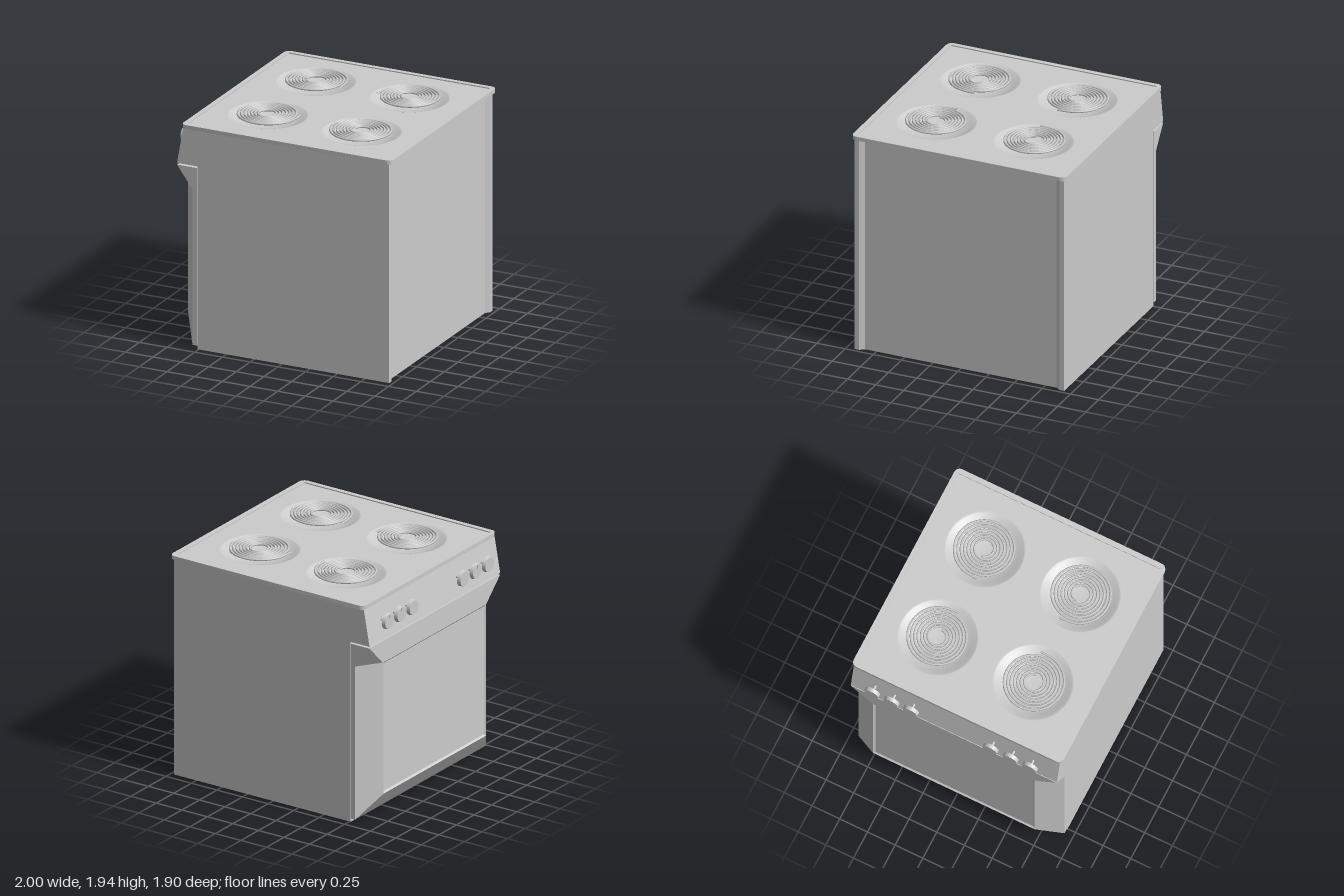
import * as THREE from 'three';
import { toCreasedNormals } from 'three/addons/utils/BufferGeometryUtils.js';

const mat = new THREE.MeshStandardMaterial({ color: 0xcccccc, side: THREE.DoubleSide });

function add(parent, geometry, name, x = 0, y = 0, z = 0) {
  const mesh = new THREE.Mesh(geometry, mat);
  mesh.name = name;
  mesh.position.set(x, y, z);
  parent.add(mesh);
  return mesh;
}

// Extrude a plan drawn in (x, z) upward from y0 to y1
function slab(shape, y0, y1) {
  const g = new THREE.ExtrudeGeometry(shape, { depth: y1 - y0, bevelEnabled: false, curveSegments: 32 });
  g.rotateX(-Math.PI / 2).translate(0, y0, 0);
  return toCreasedNormals(g, 0.6);
}

function polygon(points, Type = THREE.Shape) {
  return new Type(points.map(([x, y]) => new THREE.Vector2(x, y)));
}

function roundedRect(x0, x1, h, r) {
  const s = new THREE.Shape();
  s.moveTo(x0 + r, -h);
  s.absarc(x1 - r, -h + r, r, -Math.PI / 2, 0);
  s.absarc(x1 - r, h - r, r, 0, Math.PI / 2);
  s.absarc(x0 + r, h - r, r, Math.PI / 2, Math.PI);
  s.absarc(x0 + r, -h + r, r, Math.PI, Math.PI * 1.5);
  return s;
}

// Oven door: six-point rings from the back edge to the sunken front panel
function doorGeometry() {
  // each ring: bottom y, side y, top y, half widths (bottom/side, top), x of bottom/side, x of top
  const rings = [
    [0.03, 1.37, 1.56, 0.93, 0.93, -0.765, -0.765],
    [0.03, 1.37, 1.56, 0.93, 0.93, -0.805, -0.945],
    [0.22, 1.37, 1.56, 0.73, 0.93, -0.945, -0.945],
    [0.22, 1.36, 1.37, 0.73, 0.73, -0.945, -0.945],
    [0.235, 1.34, 1.355, 0.715, 0.715, -0.932, -0.932],
  ];
  const pos = [], idx = [];
  for (const [yb, ys, yt, w, wt, x, xt] of rings) {
    pos.push(x, yb, -w, x, yb, w, x, ys, w, xt, yt, wt, xt, yt, -wt, x, ys, -w);
  }
  for (let r = 0; r < rings.length - 1; r++) {
    for (let i = 0; i < 6; i++) {
      const a = r * 6 + i, b = r * 6 + (i + 1) % 6;
      idx.push(a, b, b + 6, a, b + 6, a + 6);
    }
  }
  const last = (rings.length - 1) * 6;
  for (let i = 1; i < 5; i++) {
    idx.push(last, last + i, last + i + 1);
    idx.push(0, i + 1, i);
  }
  const g = new THREE.BufferGeometry();
  g.setAttribute('position', new THREE.Float32BufferAttribute(pos, 3));
  g.setIndex(idx);
  const flat = g.toNonIndexed();
  flat.computeVertexNormals();
  return flat;
}

// Heating coil: flat spiral with a short straight outer end
function coilGeometry(mx, mz) {
  const pts = [], turns = 7, steps = turns * 28;
  for (let i = 0; i <= steps; i++) {
    const t = i / steps, a = t * turns * Math.PI * 2;
    const r = 0.065 + 0.19 * t;
    pts.push(new THREE.Vector3(mx * r * Math.cos(a), 0, mz * r * Math.sin(a)));
  }
  pts.push(new THREE.Vector3(mx * 0.258, 0, mz * 0.06));
  return new THREE.TubeGeometry(new THREE.CatmullRomCurve3(pts), turns * 48, 0.01, 6, false);
}

export function createModel() {
  const stove = new THREE.Group();
  stove.name = 'stove';

  // Body walls, with angled flanges around a recessed back panel
  const plan = polygon([[-0.76, -0.93], [0.97, -0.93], [0.97, -0.89], [0.94, -0.85],
    [0.94, 0.85], [0.97, 0.89], [0.97, 0.93], [-0.76, 0.93]]);
  plan.holes.push(polygon([[-0.74, -0.91], [-0.74, 0.91], [0.92, 0.91], [0.92, -0.91]], THREE.Path));
  add(stove, slab(plan, 0, 1.89), 'body');
  add(stove, new THREE.BoxGeometry(1.67, 0.02, 1.83), 'floor', 0.09, 0.035, 0);

  // Cooktop with burner openings and a raised rim
  const burners = [];
  for (const mx of [1, -1]) for (const mz of [1, -1]) {
    burners.push({ x: mx > 0 ? -0.375 : 0.47, z: -0.43 * mz, mx, mz });
  }
  const top = roundedRect(-0.88, 0.98, 0.93, 0.04);
  for (const { x, z } of burners) {
    top.holes.push(new THREE.Path().absarc(x, -z, 0.325, 0, Math.PI * 2, true));
  }
  add(stove, slab(top, 1.89, 1.913), 'cooktop');
  const rim = roundedRect(-0.9, 1, 0.95, 0.05);
  rim.holes.push(polygon([[-0.86, -0.91], [-0.86, 0.91], [0.955, 0.91], [0.955, -0.91]], THREE.Path));
  add(stove, slab(rim, 1.888, 1.922), 'cooktopRim');

  // Burners: sunken drip pan and coil
  const panProfile = [[0.001, -0.07], [0.06, -0.07], [0.14, -0.063], [0.22, -0.045], [0.28, -0.02],
    [0.315, 0.002], [0.33, 0.002]].map(([r, y]) => new THREE.Vector2(r, y));
  for (const { x, z, mx, mz } of burners) {
    const burner = new THREE.Group();
    burner.name = 'burner';
    burner.position.set(x, 1.913, z);
    add(burner, new THREE.LatheGeometry(panProfile, 48), 'dripPan');
    add(burner, coilGeometry(mx, mz), 'coil', 0, 0.017, 0);
    stove.add(burner);
  }

  // Sloped control panel
  const panel = polygon([[-0.76, 1.575], [-0.76, 1.885], [-0.89, 1.885], [-0.945, 1.575]]);
  const panelGeo = new THREE.ExtrudeGeometry(panel, { depth: 1.86, bevelEnabled: false });
  add(stove, panelGeo, 'controlPanel', 0, 0, -0.93);

  // Knobs on thin stems
  for (const z of [-0.72, -0.545, -0.37, 0.35, 0.53, 0.705]) {
    const knob = new THREE.Group();
    knob.name = 'knob';
    knob.position.set(0, 1.738, z);
    add(knob, new THREE.CylinderGeometry(0.068, 0.062, 0.03, 28), 'dial', -0.982, 0, 0).rotation.z = -Math.PI / 2;
    add(knob, new THREE.CylinderGeometry(0.01, 0.01, 0.07, 12), 'stem', -0.94, 0, 0).rotation.z = Math.PI / 2;
    add(knob, new THREE.BoxGeometry(0.006, 0.03, 0.01), 'pointer', -0.997, 0.045, 0);
    stove.add(knob);
  }

  // Oven door
  add(stove, doorGeometry(), 'ovenDoor');
  return stove;
}
